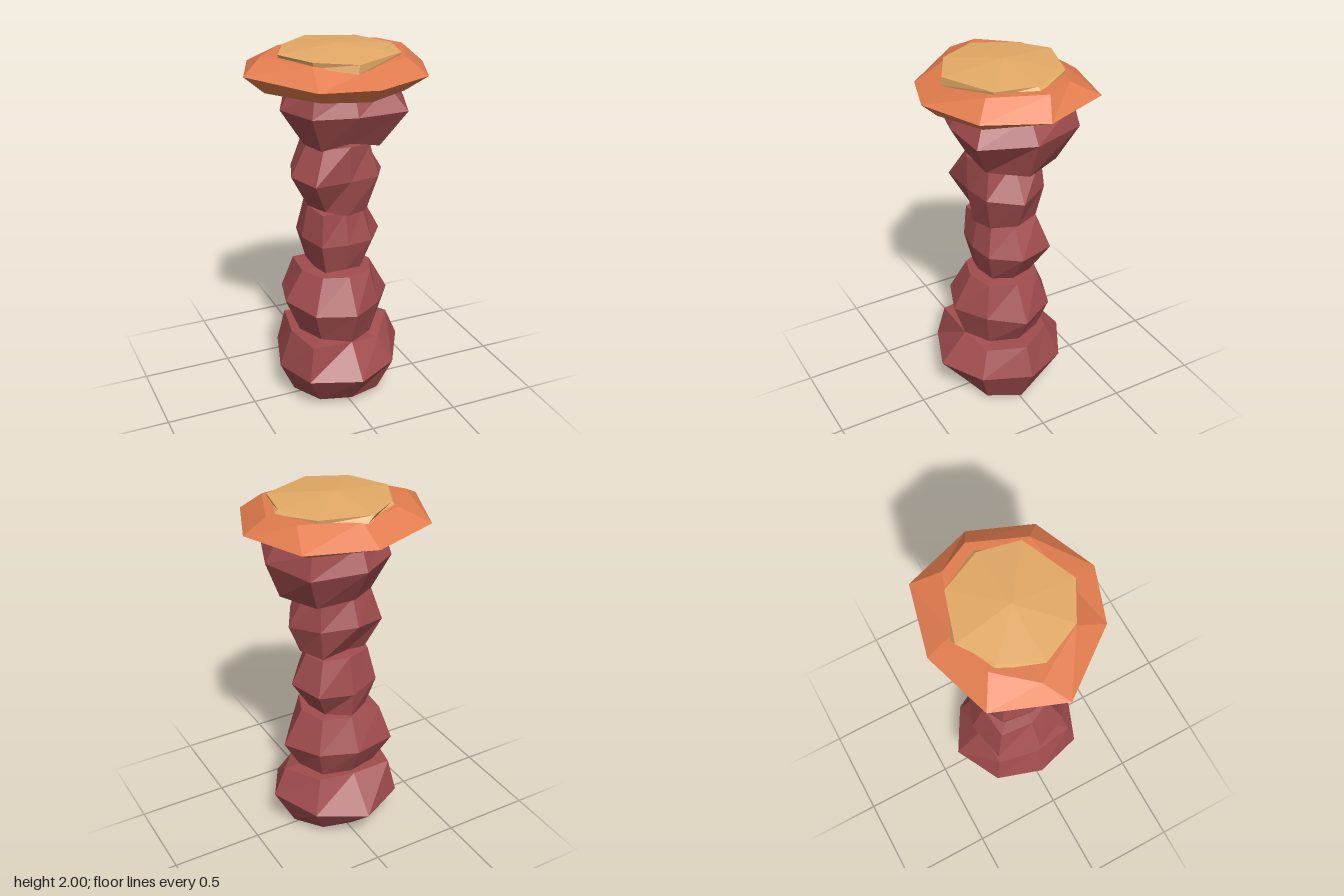
import * as THREE from 'three';

const SIDES = 8;

// eight-sided ring from radii every 45 degrees, starting at +x and turning toward -z;
// lift raises or lowers single corners
function ring(y, radii, lift = {}) {
  return radii.map((r, i) => {
    const a = (i / SIDES) * Math.PI * 2;
    return [Math.cos(a) * r, y + (lift[i] ?? 0), -Math.sin(a) * r];
  });
}

// skin stacked rings and close both ends with fans to a pole
function skin(rings, bottomY, topY) {
  const pos = [];
  const tri = (a, b, c) => pos.push(...a, ...b, ...c);
  const pole = (loop, y) => [
    loop.reduce((s, p) => s + p[0], 0) / SIDES, y,
    loop.reduce((s, p) => s + p[2], 0) / SIDES,
  ];
  const first = rings[0], last = rings[rings.length - 1];
  const low = pole(first, bottomY), high = pole(last, topY);
  for (let i = 0; i < SIDES; i++) {
    const j = (i + 1) % SIDES;
    tri(low, first[j], first[i]);
    tri(high, last[i], last[j]);
    for (let k = 0; k + 1 < rings.length; k++) {
      const a = rings[k], b = rings[k + 1];
      tri(a[i], a[j], b[j]);
      tri(a[i], b[j], b[i]);
    }
  }
  const g = new THREE.BufferGeometry();
  g.setAttribute('position', new THREE.Float32BufferAttribute(pos, 3));
  g.computeVertexNormals(); // unshared corners give flat facets
  return g;
}

export function createModel() {
  const redStone = new THREE.MeshStandardMaterial({ color: 0xa04c4e });
  const orangeClay = new THREE.MeshStandardMaterial({ color: 0xe27c4e });
  const tanSand = new THREE.MeshStandardMaterial({ color: 0xe4aa66 });
  redStone.name = 'redStone';
  orangeClay.name = 'orangeClay';
  tanSand.name = 'tanSand';

  const model = new THREE.Group();
  model.name = 'rockPillar';
  const add = (name, geometry, material) => {
    const mesh = new THREE.Mesh(geometry, material);
    mesh.name = name;
    model.add(mesh);
  };

  // stacked boulders, each with a bottom, middle and top ring
  add('baseBoulder', skin([
    ring(0.03, [0.26, 0.22, 0.22, 0.25, 0.26, 0.24, 0.22, 0.25], { 0: -0.01, 2: 0.02 }),
    ring(0.22, [0.38, 0.355, 0.395, 0.368, 0.34, 0.378, 0.37, 0.34], { 0: 0.03, 4: -0.02 }),
    ring(0.41, [0.31, 0.27, 0.23, 0.32, 0.27, 0.33, 0.22, 0.25], { 6: -0.02, 7: -0.05 }),
  ], 0, 0.41), redStone);

  add('lowerBoulder', skin([
    ring(0.41, [0.22, 0.22, 0.2, 0.23, 0.22, 0.22, 0.22, 0.2], { 6: -0.02, 7: -0.02 }),
    ring(0.58, [0.31, 0.284, 0.28, 0.332, 0.3, 0.29, 0.285, 0.25], { 0: -0.01, 4: 0.02 }),
    ring(0.768, [0.2, 0.215, 0.2, 0.26, 0.2, 0.19, 0.18, 0.2]),
  ], 0.37, 0.79), redStone);

  add('middleBoulder', skin([
    ring(0.78, [0.15, 0.17, 0.2, 0.18, 0.13, 0.15, 0.13, 0.14], { 6: 0.015 }),
    ring(0.95, [0.255, 0.285, 0.22, 0.237, 0.2, 0.2, 0.165, 0.205], { 2: -0.03, 4: 0.02 }),
    ring(1.13, [0.17, 0.205, 0.175, 0.19, 0.165, 0.185, 0.13, 0.15], { 0: -0.02, 4: 0.02 }),
  ], 0.74, 1.15), redStone);

  add('upperBoulder', skin([
    ring(1.14, [0.2, 0.2, 0.14, 0.17, 0.16, 0.15, 0.16, 0.17], { 2: 0.02, 6: -0.02, 7: -0.02 }),
    ring(1.32, [0.265, 0.242, 0.26, 0.262, 0.255, 0.278, 0.19, 0.237], { 0: -0.02, 2: 0.03 }),
    ring(1.49, [0.15, 0.22, 0.2, 0.2, 0.17, 0.17, 0.19, 0.19], { 6: 0.02 }),
  ], 1.09, 1.52), redStone);

  add('topBoulder', skin([
    ring(1.49, [0.31, 0.3, 0.22, 0.2, 0.18, 0.2, 0.19, 0.24], { 6: 0.04 }),
    ring(1.69, [0.385, 0.415, 0.34, 0.302, 0.31, 0.318, 0.28, 0.39]),
    ring(1.81, [0.31, 0.38, 0.28, 0.24, 0.24, 0.28, 0.23, 0.28]),
  ], 1.5, 1.84), redStone);

  // wide overhanging cap slab
  const capBottom = [[0.33, 1.8, -0.02], [0.27, 1.79, -0.24], [0, 1.79, -0.3], [-0.27, 1.79, -0.24],
    [-0.39, 1.79, 0.01], [-0.2, 1.79, 0.28], [0.03, 1.79, 0.36], [0.27, 1.79, 0.24]];
  const capRim = [[0.495, 1.86, 0], [0.37, 1.87, -0.36], [0.005, 1.855, -0.45], [-0.36, 1.87, -0.34],
    [-0.5, 1.885, 0.015], [-0.24, 1.86, 0.35], [0.04, 1.87, 0.445], [0.365, 1.87, 0.31]];
  const capTop = [[0.395, 1.955, -0.05], [0.315, 1.955, -0.21], [0.02, 1.95, -0.31], [-0.22, 1.955, -0.255],
    [-0.38, 1.955, -0.07], [-0.21, 1.95, 0.2], [0.08, 1.93, 0.265], [0.28, 1.955, 0.23]];
  add('capSlab', skin([capBottom, capRim, capTop], 1.79, 1.955), orangeClay);

  // thin sandy crown on the cap
  const crownLow = [[0.345, 1.95, -0.03], [0.22, 1.945, -0.24], [0, 1.94, -0.33], [-0.22, 1.945, -0.23],
    [-0.3, 1.945, -0.02], [-0.2, 1.94, 0.195], [-0.02, 1.92, 0.315], [0.27, 1.94, 0.18]];
  const crownTop = [[0.32, 1.97, -0.03], [0.22, 1.97, -0.245], [-0.04, 1.975, -0.325], [-0.21, 1.97, -0.21],
    [-0.31, 1.97, -0.01], [-0.21, 1.97, 0.2], [-0.01, 1.965, 0.31], [0.275, 1.97, 0.185]];
  add('sandCrown', skin([crownLow, crownTop], 1.93, 2), tanSand);

  return model;
}
